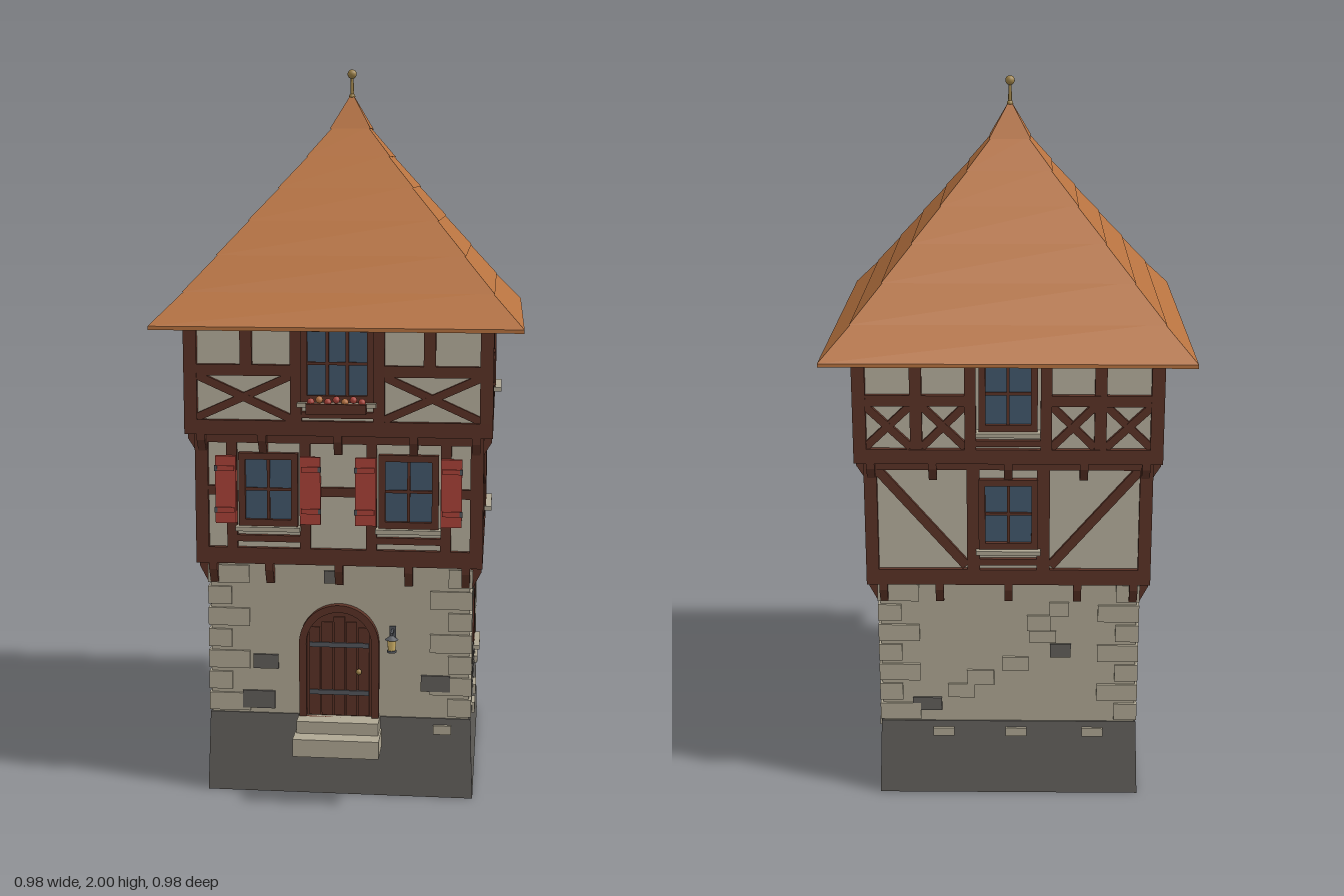
import * as THREE from 'three';

const mat = (name, color, extra = {}) => new THREE.MeshStandardMaterial({ name, color, ...extra });

export function createModel() {
  const M = {
    base: mat('dark stone', 0x625f5b, { side: THREE.DoubleSide }),
    stone: mat('light stone', 0xafa793),
    plaster: mat('plaster', 0xb6af9d),
    timber: mat('dark timber', 0x5a3226),
    roof: mat('clay tile', 0xb87340),
    glass: mat('blue glass', 0x42586c),
    lit: mat('lit glass', 0xd0b268),
    red: mat('red paint', 0xab4238),
    iron: mat('iron', 0x53565c),
    brass: mat('brass', 0x9c8148),
  };
  const tower = new THREE.Group();
  tower.name = 'timberTower';

  const add = (parent, name, geo, m, x = 0, y = 0, z = 0) => {
    const mesh = new THREE.Mesh(geo, m);
    mesh.name = name;
    mesh.position.set(x, y, z);
    parent.add(mesh);
    return mesh;
  };
  // Box spanning y0..y1 and z0..z1, centred on x
  const box = (p, name, m, x, w, y0, y1, z0, z1) =>
    add(p, name, new THREE.BoxGeometry(w, y1 - y0, z1 - z0), m, x, (y0 + y1) / 2, (z0 + z1) / 2);
  const slab = (name, m, half, y0, y1) => box(tower, name, m, 0, 2 * half, y0, y1, -half, half);
  // Square frustum with flat sides, r = half width
  const frustum = (name, m, r0, r1, y0, y1, open = false) => {
    const g = new THREE.CylinderGeometry(r1 * Math.SQRT2, r0 * Math.SQRT2, y1 - y0, 4, 1, open);
    g.rotateY(Math.PI / 4);
    const flat = g.toNonIndexed();
    flat.computeVertexNormals();
    return add(tower, name, flat, m, 0, (y0 + y1) / 2, 0);
  };
  // Straight timber between two points on a wall
  const brace = (p, x0, y0, x1, y1, w, R) => {
    const dx = x1 - x0, dy = y1 - y0;
    const b = add(p, 'brace', new THREE.BoxGeometry(Math.hypot(dx, dy), w, 0.025), M.timber,
      (x0 + x1) / 2, (y0 + y1) / 2, R - 0.016);
    b.rotation.z = Math.atan2(dy, dx);
  };
  const timber = (p, name, x, w, y0, y1, R) => box(p, name, M.timber, x, w, y0, y1, R - 0.03, R);

  // Window: glass w wide from y0 to y1, frame, glazing bars and stone sill
  const addWindow = (p, x, w, y0, y1, R, glass, cols, rows, f = 0.018) => {
    const g = new THREE.Group();
    g.name = 'window';
    g.position.x = x;
    p.add(g);
    box(g, 'pane', glass, 0, w, y0, y1, R - 0.02, R - 0.008);
    for (const s of [-1, 1]) box(g, 'frameSide', M.timber, s * (w + f) / 2, f, y0 - f, y1 + f, R - 0.02, R + 0.004);
    for (const y of [y0 - f, y1]) box(g, 'frameRail', M.timber, 0, w, y, y + f, R - 0.02, R + 0.004);
    for (let i = 1; i < cols; i++) box(g, 'glazingBar', M.timber, -w / 2 + w * i / cols, 0.008, y0, y1, R - 0.01, R - 0.002);
    for (let i = 1; i < rows; i++) {
      const y = y0 + (y1 - y0) * i / rows;
      box(g, 'glazingBar', M.timber, 0, w, y - 0.004, y + 0.004, R - 0.01, R - 0.003);
    }
    box(g, 'sill', M.stone, 0, w + 2 * f + 0.015, y0 - f - 0.012, y0 - f, R - 0.02, R + 0.02);
  };
  // Wedge-shaped jetty bracket, its top at y
  const bracket = (p, x, y, z, depth, h) => {
    const s = new THREE.Shape([[0, 0], [depth, 0], [depth, -h * 0.3], [0.012, -h], [0, -h]]
      .map(a => new THREE.Vector2(...a)));
    const g = new THREE.ExtrudeGeometry(s, { depth: 0.022, bevelEnabled: false });
    g.rotateY(-Math.PI / 2);
    add(p, 'jettyBracket', g, M.timber, x + 0.011, y, z);
  };

  // Main masses
  const G = 0.357, A = 0.39, B = 0.413;
  frustum('plinth', M.base, 0.37, 0.362, 0, 0.225, true);
  slab('plinthTop', M.base, 0.361, 0.217, 0.2255);
  slab('stoneStorey', M.stone, G, 0.2255, 0.662);
  slab('lowerSillBeam', M.timber, A, 0.66, 0.705);
  slab('middleStorey', M.plaster, A - 0.014, 0.7, 1.0);
  slab('middleTopBeam', M.timber, A, 0.995, 1.02);
  slab('upperSillBeam', M.timber, B, 1.02, 1.06);
  slab('upperStorey', M.plaster, B - 0.016, 1.06, 1.325);

  // Roof in overlapping courses
  const courses = [[0.49, 1.318], [0.413, 1.402], [0.335, 1.495], [0.26, 1.585], [0.187, 1.672], [0.117, 1.757], [0.057, 1.835], [0.004, 1.925]];
  slab('eaveBoard', M.roof, 0.49, 1.308, 1.318);
  for (let i = 0; i < courses.length - 1; i++) {
    const [r0, y0] = courses[i], [r1, y1] = courses[i + 1];
    frustum('roofCourse', M.roof, r0, Math.max(r1 - 0.007, 0.004), y0, y1 + 0.004);
  }
  add(tower, 'finialRod', new THREE.CylinderGeometry(0.004, 0.006, 0.08, 8), M.brass, 0, 1.945, 0);
  add(tower, 'finialCollar', new THREE.SphereGeometry(0.009, 10, 8), M.brass, 0, 1.925, 0);
  add(tower, 'finialBall', new THREE.SphereGeometry(0.013, 14, 10), M.brass, 0, 1.987, 0);

  // Loose stones set in each wall: [x, y, width, height, dark]
  const stones = [
    [[-0.205, 0.375, 0.07, 0.04, 1], [-0.225, 0.265, 0.09, 0.05, 1], [0.265, 0.325, 0.08, 0.045, 1],
      [-0.02, 0.62, 0.045, 0.035, 1], [0.295, 0.43, 0.06, 0.035, 0], [0.285, 0.195, 0.05, 0.025, 0]],
    [[0.185, 0.61, 0.085, 0.05, 1], [-0.235, 0.34, 0.06, 0.045, 1], [-0.135, 0.345, 0.055, 0.05, 1], [0.17, 0.3, 0.06, 0.045, 1],
      [-0.15, 0.195, 0.06, 0.03, 0], [0.015, 0.195, 0.07, 0.03, 0], [0.285, 0.2, 0.07, 0.02, 0], [0.14, 0.45, 0.07, 0.04, 0], [-0.16, 0.54, 0.07, 0.04, 0]],
    [], []];
  let seed = 7;
  const rnd = () => (seed = (seed * 16807) % 2147483647) / 2147483647;
  for (const k of [2, 3]) {
    for (let i = 0; i < 8; i++) {
      const x = (k === 3 ? (i % 2 ? 1 : -1) * (0.12 + rnd() * 0.11) : -0.23 + rnd() * 0.46);
      stones[k].push([x, 0.28 + i * 0.042, 0.05 + rnd() * 0.035, 0.035 + rnd() * 0.012, i % 4 === 0]);
    }
    for (let i = 0; i < 3; i++) stones[k].push([-0.24 + i * 0.22 + rnd() * 0.06, 0.195, 0.06, 0.025, 0]);
  }

  // Four walls, each built facing +z and turned into place
  const sides = ['front', 'left', 'back', 'right'].map((n, k) => {
    const f = new THREE.Group();
    f.name = n + 'Wall';
    f.rotation.y = k * Math.PI / 2;
    tower.add(f);
    return f;
  });
  sides.forEach((f, k) => {
    const front = k === 0;
    for (const [x, y, w, h, dark] of stones[k])
      box(f, 'wallStone', dark ? M.base : M.stone, x, w, y - h / 2, y + h / 2, G - 0.01, y < 0.23 ? 0.371 : G + 0.007);

    // Brackets under both jetties
    for (const x of [-0.345, -0.19, 0, 0.19, 0.345]) {
      bracket(f, x, 0.66, G - 0.004, 0.034, 0.06);
      bracket(f, x * 1.07, 1.02, A - 0.016, 0.036, 0.055);
    }
    // Posts, rails and braces
    for (const s of [-1, 1]) {
      timber(f, 'cornerPost', s * (A - 0.0175), 0.035, 0.7, 1.0, A);
      timber(f, 'cornerPost', s * (B - 0.0175), 0.035, 1.06, 1.315, B);
      const inner = front ? 0.125 : 0.115, mid = 0.245;
      timber(f, 'upperPost', s * (inner - 0.014), 0.03, 1.06, 1.315, B);
      timber(f, 'upperRail', s * (inner + 0.38) / 2, 0.38 - inner, 1.18, 1.21, B - 0.001);
      timber(f, 'upperStud', s * mid, 0.032, front ? 1.2 : 1.06, 1.315, B - 0.002);
      const panels = front ? [[inner, 0.38]] : [[inner, mid - 0.015], [mid + 0.015, 0.38]];
      for (const [a, b] of panels) {
        brace(f, s * a, 1.065, s * b, 1.18, 0.021, B);
        brace(f, s * a, 1.18, s * b, 1.065, 0.021, B - 0.001);
      }
      if (front) {
        for (const o of [-0.1, 0.1]) timber(f, 'windowPost', s * 0.19 + o, 0.028, 0.7, 1.0, A);
        timber(f, 'windowRail', s * 0.19, 0.19, 0.722, 0.74, A - 0.001);
        timber(f, 'outerRail', s * 0.33, 0.09, 0.85, 0.875, A - 0.002);
      } else {
        timber(f, 'windowPost', s * 0.095, 0.035, 0.7, 1.0, A);
        brace(f, s * 0.115, 0.715, s * 0.355, 0.995, 0.026, A);
      }
    }
    if (front) timber(f, 'middleRail', 0, 0.2, 0.85, 0.875, A - 0.002);
    else {
      timber(f, 'windowRail', 0, 0.18, 0.718, 0.736, A - 0.001);
      addWindow(f, 0, 0.125, 0.785, 0.95, A, k === 1 ? M.lit : M.glass, 2, 2);
    }
    addWindow(f, 0, front ? 0.16 : 0.12, 1.13, 1.3, B, M.glass, front ? 3 : 2, 2);
    timber(f, 'upperWindowRail', 0, 0.2, 1.068, 1.085, B - 0.002);
    if (k % 2) addWindow(f, 0, 0.09, 0.362, 0.5, G + 0.004, M.glass, 2, 2, 0.016);

    // Alternating corner stones on this wall's right-hand corner
    for (let i = 0; i < 7; i++) {
      const y = 0.232 + i * 0.061, long = 0.115, short = 0.065, e = G + 0.007;
      const [w, d] = i % 2 ? [long, short] : [short, long];
      box(f, 'cornerStone', M.stone, e - w / 2, w, y, y + 0.05, e - d, e);
    }
  });

  // Front windows with shutters
  const front = sides[0];
  for (const s of [-1, 1]) {
    addWindow(front, s * 0.19, 0.125, 0.785, 0.95, A, M.glass, 2, 2);
    for (const o of [-0.115, 0.115]) {
      const x = s * 0.19 + o;
      box(front, 'shutter', M.red, x, 0.056, 0.775, 0.96, A, A + 0.012);
      for (const y of [0.805, 0.92]) {
        box(front, 'shutterBatten', M.red, x, 0.048, y, y + 0.014, A + 0.01, A + 0.016);
        box(front, 'hinge', M.iron, x + Math.sign(o) * 0.026, 0.008, y, y + 0.014, A + 0.01, A + 0.018);
      }
    }
  }
  // Flower box
  box(front, 'flowerBox', M.timber, 0, 0.16, 1.085, 1.112, B + 0.004, B + 0.038);
  for (let i = 0; i < 7; i++)
    add(front, 'flower', new THREE.IcosahedronGeometry(0.01, 1), i % 3 === 1 ? M.roof : M.red,
      -0.068 + i * 0.0227, 1.116 + (i % 2) * 0.006, B + 0.021);

  // Arched door
  const arch = (r, y0, spring) => {
    const s = new THREE.Shape();
    s.moveTo(-r, y0);
    s.lineTo(r, y0);
    s.lineTo(r, spring);
    s.absarc(0, spring, r, 0, Math.PI, false);
    s.closePath();
    return s;
  };
  const extrude = (s, depth) => new THREE.ExtrudeGeometry(s, { depth, bevelEnabled: false, curveSegments: 16 });
  const surround = arch(0.11, 0.225, 0.435);
  surround.holes.push(arch(0.09, 0.226, 0.435));
  add(front, 'doorSurround', extrude(surround, 0.03), M.timber, 0, 0, G - 0.008);
  add(front, 'doorLeaf', extrude(arch(0.091, 0.225, 0.435), 0.015), M.timber, 0, 0, G - 0.008);
  for (let i = -2; i <= 2; i++)
    box(front, 'doorPlank', M.timber, i * 0.034, 0.03, 0.228, 0.51 - Math.abs(i) * 0.015, G, G + 0.011);
  for (const y of [0.288, 0.424]) box(front, 'doorBand', M.iron, 0, 0.165, y, y + 0.013, G, G + 0.015);
  add(front, 'doorKnob', new THREE.SphereGeometry(0.008, 10, 8), M.brass, 0.055, 0.357, G + 0.018);

  // Door steps
  box(front, 'lowerStep', M.stone, 0, 0.235, 0.143, 0.192, 0.34, 0.47);
  box(front, 'upperStep', M.stone, 0, 0.225, 0.19, 0.226, 0.34, 0.422);

  // Wall lantern
  const lantern = new THREE.Group();
  lantern.name = 'lantern';
  lantern.position.set(0.147, 0, 0.4);
  front.add(lantern);
  box(lantern, 'lanternPlate', M.iron, 0, 0.018, 0.45, 0.485, -0.046, -0.038);
  box(lantern, 'lanternArm', M.iron, 0, 0.007, 0.471, 0.478, -0.045, 0.004);
  add(lantern, 'lanternCap', new THREE.ConeGeometry(0.019, 0.014, 8), M.iron, 0, 0.467, 0);
  add(lantern, 'lanternGlass', new THREE.CylinderGeometry(0.013, 0.01, 0.032, 8), M.lit, 0, 0.445, 0);
  add(lantern, 'lanternFoot', new THREE.CylinderGeometry(0.013, 0.013, 0.006, 8), M.iron, 0, 0.427, 0);

  return tower;
}
